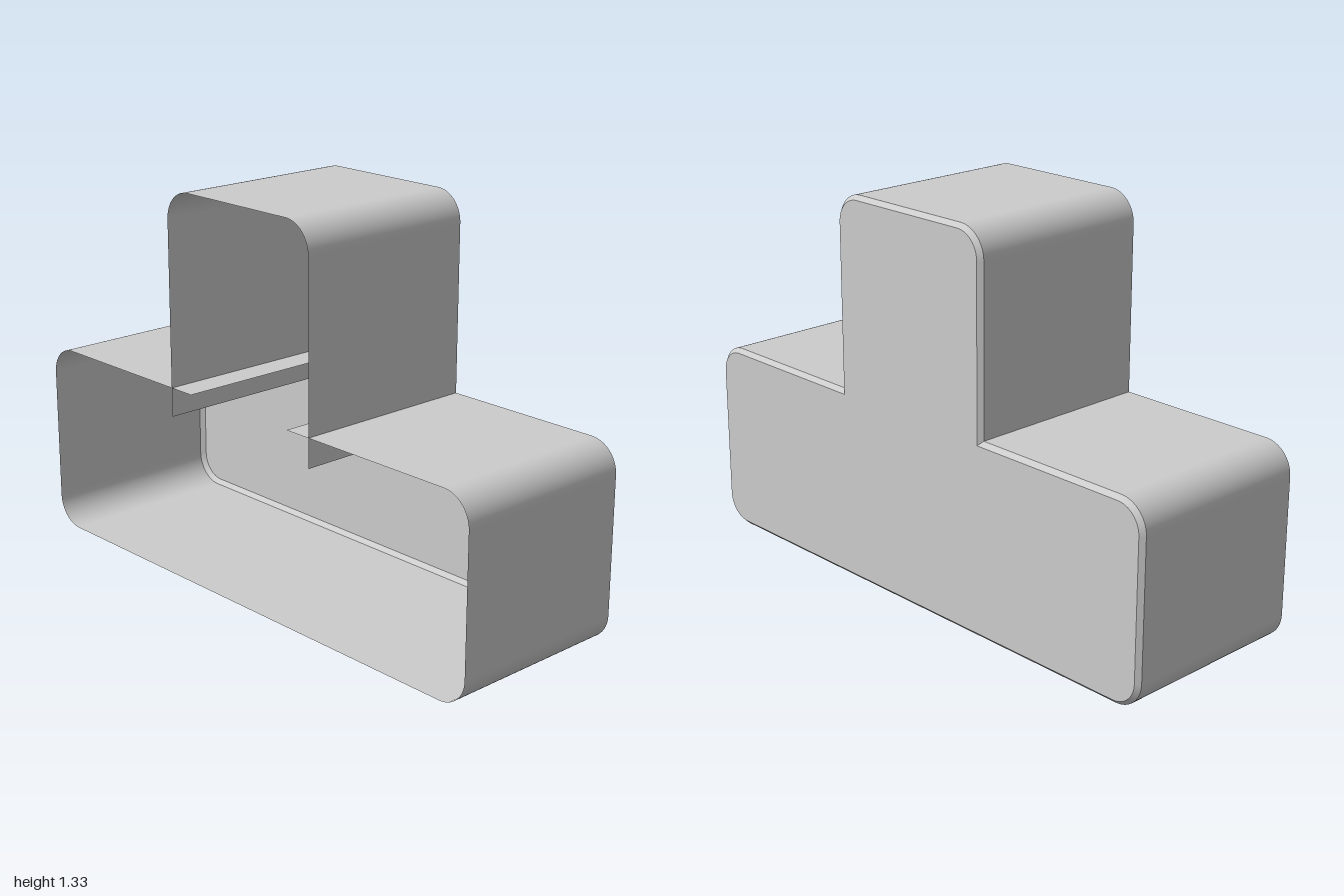
import * as THREE from 'three';

const HALF = 1 / 3, R = 0.1, CH = 0.015, STEPS = 16;
const FRONT = HALF, BACK = -HALF;

// Outline entry: arc centre plus outward normal; the point is centre + normal * radius
const entry = (x, y, angle) => ({ x, y, nx: Math.cos(angle), ny: Math.sin(angle) });

// Quarter-round corner, counter-clockwise from the given quarter turn
function corner(x, y, quarter) {
  const list = [];
  for (let i = 0; i <= STEPS; i++) list.push(entry(x, y, (quarter + i / STEPS) * Math.PI / 2));
  return list;
}

// Sheet between two depths, offset from the arc centres by r0 (front) and r1 (back)
function strip(path, r0, z0, r1, z1, nz) {
  const pos = [], nor = [], idx = [];
  const s = 1 / Math.hypot(1, nz);
  path.forEach((e, i) => {
    pos.push(e.x + e.nx * r0, e.y + e.ny * r0, z0, e.x + e.nx * r1, e.y + e.ny * r1, z1);
    for (let k = 0; k < 2; k++) nor.push(e.nx * s, e.ny * s, nz * s);
    if (i < path.length - 1) {
      const a = 2 * i;
      idx.push(a, a + 1, a + 2, a + 2, a + 1, a + 3);
    }
  });
  const g = new THREE.BufferGeometry();
  g.setAttribute('position', new THREE.Float32BufferAttribute(pos, 3));
  g.setAttribute('normal', new THREE.Float32BufferAttribute(nor, 3));
  g.setIndex(idx);
  return g;
}

export function createModel() {
  const model = new THREE.Group();
  model.name = 'tShapedShell';
  const material = new THREE.MeshStandardMaterial({ color: 0xcccccc, side: THREE.DoubleSide });
  const add = (name, geometry) => {
    const mesh = new THREE.Mesh(geometry, material);
    mesh.name = name;
    model.add(mesh);
  };

  const inner = HALF - R;
  const stemCorners = [...corner(inner, 4 * HALF - R, 0), ...corner(-inner, 4 * HALF - R, 1)];
  const baseCorners = [
    ...corner(-1 + R, 2 * HALF - R, 1), ...corner(-1 + R, R, 2),
    ...corner(1 - R, R, 3), ...corner(1 - R, 2 * HALF - R, 0),
  ];

  // Wall outlines, whose open ends run on inside the shell as flaps
  const low = 2 * HALF - R;
  const outlines = {
    stem: [entry(inner, low, 0), ...stemCorners, entry(-inner, low, Math.PI)],
    base: [entry(-inner, low, Math.PI / 2), ...baseCorners, entry(inner, low, Math.PI / 2)],
  };
  for (const [name, path] of Object.entries(outlines)) {
    add(name + 'Wall', strip(path, R, FRONT, R, BACK + CH, 0));
    add(name + 'Bevel', strip(path, R, BACK + CH, R - CH, BACK, -1));
  }

  // Flat T-shaped back panel inside the bevels
  const inset = (e) => new THREE.Vector2(e.x + e.nx * (R - CH), e.y + e.ny * (R - CH));
  const notchX = HALF - CH, notchY = 2 * HALF - CH;
  const panel = new THREE.ShapeGeometry(new THREE.Shape([
    ...baseCorners.map(inset), new THREE.Vector2(notchX, notchY),
    ...stemCorners.map(inset), new THREE.Vector2(-notchX, notchY),
  ]));
  panel.rotateY(Math.PI);
  panel.translate(0, 0, BACK);
  add('backPanel', panel);

  return model;
}
